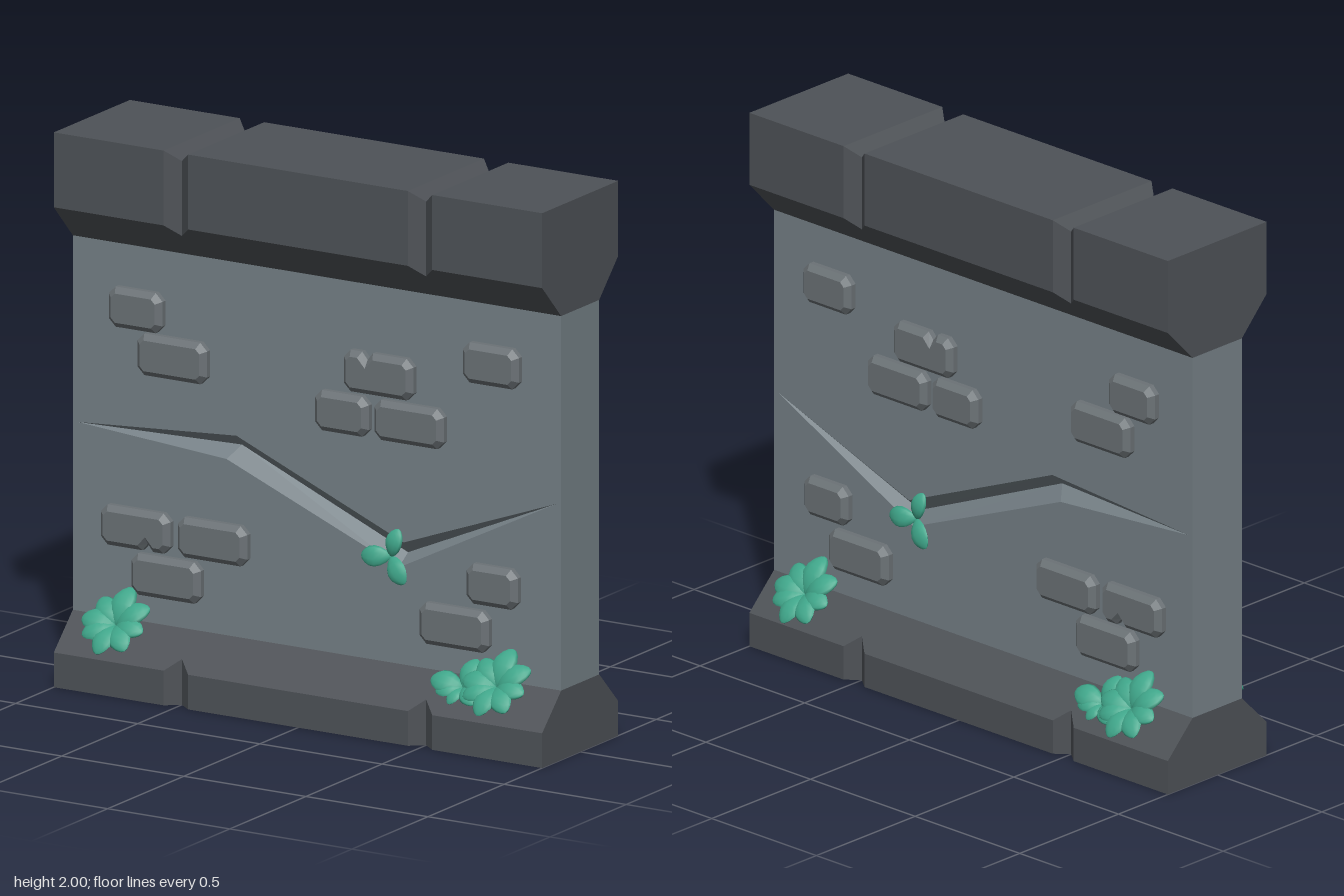
import * as THREE from 'three';

const mat = (name, color, side = THREE.FrontSide) => {
  const m = new THREE.MeshStandardMaterial({ color, side });
  m.name = name;
  return m;
};

// Triangles from a flat list of [x, y, z] points, with flat normals
function facets(points) {
  const g = new THREE.BufferGeometry();
  g.setAttribute('position', new THREE.Float32BufferAttribute(points.flat(), 3));
  g.computeVertexNormals();
  return g;
}

// Loft [z, y] cross-sections along x, with flat end caps
function loft(sections, closed) {
  const out = [];
  const at = ([x, pts], i) => [x, pts[i % pts.length][1], pts[i % pts.length][0]];
  const n = sections[0][1].length;
  for (let s = 0; s < sections.length - 1; s++) {
    const A = sections[s], B = sections[s + 1];
    for (let i = 0; i < (closed ? n : n - 1); i++) {
      const a = at(A, i), b = at(A, i + 1), c = at(B, i + 1), d = at(B, i);
      out.push(a, c, b, a, d, c);
    }
  }
  const first = sections[0], last = sections[sections.length - 1];
  for (let i = 1; i < n - 1; i++) {
    out.push(at(first, 0), at(first, i), at(first, i + 1));
    out.push(at(last, 0), at(last, i + 1), at(last, i));
  }
  return facets(out);
}

// Full profile everywhere except at the two V-shaped joints
function jointed(full, joint, closed) {
  const half = [[-1, full], [-0.55, full], [-0.5, joint], [-0.45, full]];
  const right = half.map(([x, p]) => [-x, p]).reverse();
  return loft([...half, ...right], closed);
}

// Mirror a half profile to the other side in z
const bothSides = (half) => [...half, ...half.map(([z, y]) => [-z, y]).reverse()];

// Block with cut corners, a bevelled face and an optional chip (x offset, edge sign)
function brickGeometry(w, h, chip) {
  const a = w / 2, b = h / 2, c = 0.028;
  const pts = [[-a + c, -b], [a - c, -b], [a, -b + c], [a, b - c], [a - c, b], [-a + c, b], [-a, b - c], [-a, -b + c]];
  if (chip) {
    const [x, s] = chip;
    const notch = [[x + s * 0.022, s * b], [x, s * (b - 0.026)], [x - s * 0.022, s * b]];
    pts.splice(s > 0 ? 5 : 1, 0, ...notch);
  }
  const shape = new THREE.Shape(pts.map(([x, y]) => new THREE.Vector2(x, y)));
  return new THREE.ExtrudeGeometry(shape, {
    depth: 0.05, bevelEnabled: true, bevelSegments: 1, bevelSize: 0.02, bevelOffset: -0.02, bevelThickness: 0.02,
  });
}

// Pointed, flattened leaf growing along +y from the origin
function leafGeometry() {
  const g = new THREE.SphereGeometry(1, 10, 8);
  const p = g.attributes.position;
  for (let i = 0; i < p.count; i++) {
    const t = (p.getY(i) + 1) / 2;
    const taper = 0.75 + 0.35 * Math.sin(t * 2.6);
    p.setXYZ(i, p.getX(i) * 0.3 * taper, t, p.getZ(i) * 0.12 + 0.1 * Math.sin(t * Math.PI));
  }
  g.computeVertexNormals();
  return g;
}

export function createModel() {
  const model = new THREE.Group();
  model.name = 'stoneWall';
  const trim = mat('darkStone', 0x4e5257, THREE.DoubleSide);
  const stone = mat('greyStone', 0x758086, THREE.DoubleSide);
  const brickMat = mat('brickStone', 0x6b7276);
  const green = mat('leafGreen', 0x3fa68a);
  const add = (parent, name, geometry, material) => {
    const m = new THREE.Mesh(geometry, material);
    m.name = name;
    parent.add(m);
    return m;
  };

  // Coping and open-bottomed plinth
  add(model, 'coping', jointed(
    bothSides([[0.125, 1.6], [0.25, 1.73], [0.25, 2]]),
    bothSides([[0.125, 1.6], [0.21, 1.69], [0.21, 1.96]]), true), trim);
  add(model, 'plinth', jointed(
    bothSides([[0.25, 0], [0.25, 0.125], [0.125, 0.25]]),
    bothSides([[0.21, 0], [0.21, 0.165], [0.125, 0.25]]), false), trim);

  // Wall ends
  for (const s of [-1, 1]) {
    const end = add(model, 'wallEnd', new THREE.PlaneGeometry(0.25, 1.35), stone);
    end.position.set(s, 0.925, 0);
    end.rotation.y = s * Math.PI / 2;
  }

  const bricks = [
    [-0.73, 1.375, 0.22, 0.145], [-0.58, 1.22, 0.285, 0.15], [0.265, 1.285, 0.285, 0.15, [-0.045, 1]],
    [0.115, 1.125, 0.22, 0.145], [0.39, 1.125, 0.285, 0.145], [0.725, 1.385, 0.23, 0.145],
    [-0.73, 0.585, 0.285, 0.145, [0.05, -1]], [-0.415, 0.585, 0.285, 0.145], [-0.605, 0.425, 0.285, 0.15],
    [0.575, 0.42, 0.285, 0.15], [0.73, 0.59, 0.21, 0.145],
  ];
  const leaf = leafGeometry();

  // Rosette of leaves: [angle in degrees, length], lying in a plane tilted back by `tilt`
  function plant(parent, name, x, y, z, tilt, leaves) {
    const g = new THREE.Group();
    g.name = name;
    g.position.set(x, y, z);
    g.rotation.x = -tilt;
    for (const [deg, len] of leaves) {
      const pivot = new THREE.Group();
      pivot.rotation.z = THREE.MathUtils.degToRad(deg - 90);
      const m = add(pivot, 'leaf', leaf, green);
      m.scale.setScalar(len);
      m.rotation.x = 0.12;
      g.add(pivot);
    }
    parent.add(g);
  }

  // Each face of the wall; the rear one has its x values mirrored, then turns around
  for (const m of [1, -1]) {
    const face = new THREE.Group();
    face.name = m > 0 ? 'frontFace' : 'backFace';
    if (m < 0) face.rotation.y = Math.PI;
    model.add(face);

    // Wall panel with a V-shaped crack sunk into it
    const z = 0.125;
    const upper = [[-0.98, 0.93], [-0.33, 0.975], [0.355, 0.69], [0.98, 0.92]].map(([x, y]) => [x * m, y, z]);
    const lower = [[-0.98, 0.93], [-0.37, 0.885], [0.335, 0.597], [0.98, 0.92]].map(([x, y]) => [x * m, y, z]);
    const floor = [[-0.98, 0.93, z], [-0.335, 0.932, 0.08], [0.345, 0.643, 0.08], [0.98, 0.92, z]].map(([x, y, d]) => [x * m, y, d]);
    const v2 = ([x, y]) => new THREE.Vector2(x, y);
    const panel = new THREE.Shape([[-1, 0.25], [1, 0.25], [1, 1.6], [-1, 1.6]].map(v2));
    panel.holes.push(new THREE.Path([...upper, ...lower.slice(1, 3).reverse()].map(v2)));
    add(face, 'wallPanel', new THREE.ShapeGeometry(panel), stone).position.z = z;
    const tris = [];
    for (const [hi, lo] of [[upper, floor], [floor, lower]]) {
      for (let i = 0; i < 3; i++) {
        const quad = [hi[i], lo[i], lo[i + 1], hi[i], lo[i + 1], hi[i + 1]];
        tris.push(...(m > 0 ? quad : quad.reverse()));
      }
    }
    add(face, 'crack', facets(tris), stone);

    // Raised bricks
    for (const [x, y, w, h, chip] of bricks) {
      const c = chip && [chip[0] * m, chip[1]];
      add(face, 'brick', brickGeometry(w, h, c), brickMat).position.set(x * m, y, 0.095);
    }

    // Plants on the plinth and in the crack
    const full = [[85, 0.15], [35, 0.14], [-8, 0.125], [-50, 0.13], [-100, 0.13], [-150, 0.125], [178, 0.135], [135, 0.13]];
    plant(face, 'plinthPlant', -0.77, 0.245, 0.21, 0.75, full);
    plant(face, 'plinthPlant', 0.79, 0.25, 0.21, 0.75, full);
    plant(face, 'smallPlinthPlant', 0.645, 0.225, 0.2, 0.75, [[80, 0.115], [30, 0.1], [-40, 0.1], [-110, 0.08], [-160, 0.1], [175, 0.13]]);
    plant(face, 'crackPlant', 0.31 * m, 0.635, 0.135, 0.2, [[75, 0.105], [185, 0.115], [-50, 0.115]]);
  }
  return model;
}
